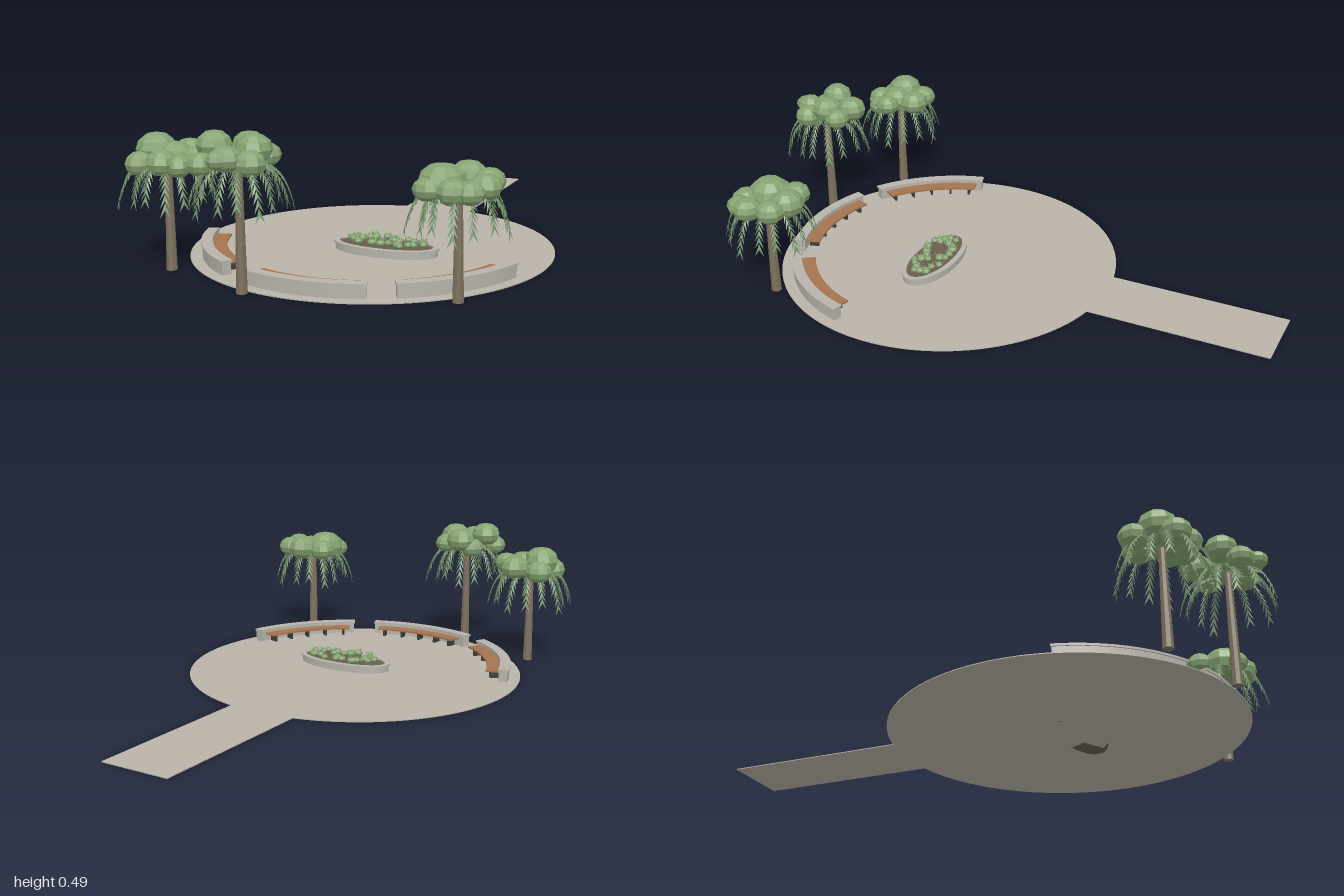
import * as THREE from 'three';
import { mergeGeometries } from 'three/addons/utils/BufferGeometryUtils.js';

const CX = 0.02, CZ = 0.235; // plaza centre
const deg = Math.PI / 180;

function seeded(seed) {
  return () => {
    seed = (seed * 16807) % 2147483647;
    return seed / 2147483647;
  };
}

function material(name, color, options = {}) {
  const m = new THREE.MeshStandardMaterial({ color, ...options });
  m.name = name;
  return m;
}

function part(parent, name, geometry, mat, x = 0, y = 0, z = 0) {
  const mesh = new THREE.Mesh(geometry, mat);
  mesh.name = name;
  mesh.position.set(x, y, z);
  parent.add(mesh);
  return mesh;
}

// Ground-plan shape raised to a slab standing on y = 0
function slab(shape, height, segments = 24) {
  return new THREE.ExtrudeGeometry(shape, { depth: height, bevelEnabled: false, curveSegments: segments })
    .rotateX(-Math.PI / 2);
}

// Curved band centred on the +z direction
function arcBand(inner, outer, halfAngle, height) {
  const a = -Math.PI / 2 - halfAngle, b = -Math.PI / 2 + halfAngle;
  const s = new THREE.Shape();
  s.absarc(0, 0, outer, a, b, false);
  s.absarc(0, 0, inner, b, a, true);
  return slab(s, height, 14);
}

function ellipseRing(rx, rz, inset, height) {
  const s = new THREE.Shape();
  s.absellipse(0, 0, rx, rz, 0, Math.PI * 2);
  const hole = new THREE.Path();
  hole.absellipse(0, 0, rx - inset, rz - inset, 0, Math.PI * 2);
  s.holes.push(hole);
  return slab(s, height, 20);
}

// Drooping feather frond: paired leaflets along an arched spine
function frondGeometry(reach, drop) {
  const spine = new THREE.QuadraticBezierCurve3(
    new THREE.Vector3(0.01, -0.01, 0),
    new THREE.Vector3(reach * 0.8, 0.03, 0),
    new THREE.Vector3(reach, -drop, 0));
  const pos = [];
  const steps = 11;
  for (let i = 1; i < steps; i++) {
    const t = i / steps;
    const p = spine.getPoint(t), q = spine.getPoint(t + 0.85 / steps);
    const dir = spine.getTangent(t);
    for (const side of [-1, 1]) {
      const tip = q.clone().addScaledVector(dir, 0.012);
      tip.y -= 0.012;
      tip.z += side * 0.016;
      pos.push(p.x, p.y, p.z, q.x, q.y, q.z, tip.x, tip.y, tip.z);
      const low = p.clone().lerp(tip, 0.6);
      low.y -= 0.007;
      pos.push(p.x, p.y, p.z, tip.x, tip.y, tip.z, low.x, low.y, low.z);
    }
  }
  const g = new THREE.BufferGeometry();
  g.setAttribute('position', new THREE.Float32BufferAttribute(pos, 3));
  g.computeVertexNormals();
  return g;
}

function makePalm(name, x, z, crownY, puffs, mats) {
  const palm = new THREE.Group();
  palm.name = name;
  palm.position.set(x, 0, z);
  part(palm, 'trunk', new THREE.CylinderGeometry(0.011, 0.018, crownY, 8), mats.bark, 0, crownY / 2, 0);

  const fronds = [];
  const count = 15;
  for (let i = 0; i < count; i++) {
    const g = frondGeometry([0.16, 0.135, 0.15][i % 3], [0.135, 0.125, 0.11][i % 3]);
    fronds.push(g.rotateY((i / count) * Math.PI * 2 + x * 5));
  }
  part(palm, 'fronds', mergeGeometries(fronds), mats.frond, 0, crownY, 0);

  const balls = puffs.map(([dx, dy, dz, r], i) =>
    new THREE.SphereGeometry(r, 9, 6).rotateY(i).scale(1, 0.8, 1).translate(dx, dy, dz));
  part(palm, 'crown', mergeGeometries(balls), mats.foliage, 0, crownY, 0);
  return palm;
}

function makeBench(name, angle, mats) {
  const bench = new THREE.Group();
  bench.name = name;
  bench.position.set(CX, 0, CZ);
  bench.rotation.y = angle;
  part(bench, 'backWall', arcBand(0.539, 0.57, 22 * deg, 0.042), mats.stone);
  part(bench, 'wallCap', arcBand(0.536, 0.574, 22.3 * deg, 0.008), mats.stone, 0, 0.042, 0);
  part(bench, 'seat', arcBand(0.488, 0.537, 19.8 * deg, 0.006), mats.wood, 0, 0.03, 0);
  for (let i = -2; i <= 2; i++) {
    const a = i * 8.5 * deg;
    const leg = part(bench, 'seatLeg', new THREE.BoxGeometry(0.008, 0.028, 0.034), mats.metal,
      Math.sin(a) * 0.516, 0.016, Math.cos(a) * 0.516);
    leg.rotation.y = a;
  }
  return bench;
}

// Small shrub: a faceted core with tilted blades around it
function shrubGeometry(size, rand) {
  const pieces = [new THREE.IcosahedronGeometry(size, 1).scale(1, 0.75, 1)];
  for (let i = 0; i < 6; i++) {
    const blade = new THREE.ConeGeometry(size * 0.28, size * 1.5, 4).toNonIndexed();
    blade.translate(0, size * 0.75, 0).rotateZ(-0.5 - rand() * 0.6).rotateY(i * 1.05 + rand());
    pieces.push(blade);
  }
  return mergeGeometries(pieces);
}

function makePlanter(mats) {
  const planter = new THREE.Group();
  planter.name = 'planter';
  planter.position.set(0.08, 0, 0.265);
  part(planter, 'planterWall', ellipseRing(0.182, 0.085, 0.014, 0.024), mats.stone);
  part(planter, 'planterRim', ellipseRing(0.188, 0.09, 0.02, 0.007), mats.stone, 0, 0.024, 0);
  const bed = new THREE.Shape();
  bed.absellipse(0, 0, 0.17, 0.073, 0, Math.PI * 2);
  part(planter, 'soil', slab(bed, 0.026, 20), mats.soil);

  const rand = seeded(71);
  const shrubs = [];
  for (let i = 0; i < 26; i++) {
    const a = i * 2.4, r = 0.3 + 0.62 * Math.sqrt(rand());
    const g = shrubGeometry(0.011 + rand() * 0.007, rand);
    shrubs.push(g.translate(Math.cos(a) * r * 0.155, 0.036 + rand() * 0.008, Math.sin(a) * r * 0.062));
  }
  part(planter, 'shrubs', mergeGeometries(shrubs), mats.foliage);
  return planter;
}

export function createModel() {
  const model = new THREE.Group();
  model.name = 'palmPlaza';
  const mats = {
    paving: material('paving', 0xb9b3a8),
    stone: material('stone', 0xb8b4ac),
    wood: material('wood', 0xa5734f),
    metal: material('metal', 0x3f3d3a),
    soil: material('soil', 0x6a5d4d),
    bark: material('bark', 0x7d715e, { flatShading: true }),
    foliage: material('foliage', 0x86a372, { flatShading: true }),
    frond: material('frond', 0x75946a, { side: THREE.DoubleSide, flatShading: true }),
  };

  // Round plaza with a straight path leading to the back
  const R = 0.61, half = 0.125, gap = Math.asin(half / R);
  const plan = new THREE.Shape();
  plan.absarc(0, 0, R, Math.PI / 2 + gap, Math.PI * 2.5 - gap, false);
  plan.lineTo(half, 1 + CZ);
  plan.lineTo(-half, 1 + CZ);
  part(model, 'plaza', slab(plan, 0.003, 72), mats.paving, CX, 0, CZ);

  // Three curved benches around the front edge
  model.add(makeBench('rightBench', -53.3 * deg, mats));
  model.add(makeBench('middleBench', 0, mats));
  model.add(makeBench('leftBench', 53.3 * deg, mats));

  model.add(makePlanter(mats));

  // Palms: crown puffs are [x, y, z, radius] about the crown centre
  model.add(makePalm('rightPalm', -0.465, 0.715, 0.36, [
    [-0.04, 0.03, 0, 0.065], [0.025, 0, 0.07, 0.052], [0.1, 0.01, 0, 0.045], [-0.06, 0, -0.07, 0.05],
    [0.03, 0.01, -0.08, 0.055], [-0.06, -0.01, 0.06, 0.05], [0.07, -0.01, 0.05, 0.045], [0.03, 0.01, 0, 0.06],
  ], mats));
  model.add(makePalm('middlePalm', -0.135, 0.845, 0.4, [
    [-0.08, 0.045, 0, 0.055], [0.035, 0.035, -0.03, 0.058], [0, 0.02, 0.07, 0.05], [-0.09, -0.005, 0.06, 0.045],
    [0.06, 0.005, 0.04, 0.05], [-0.02, 0.03, -0.1, 0.055], [-0.06, 0, -0.08, 0.045], [-0.01, 0.02, 0.1, 0.035],
    [0.05, 0.01, -0.08, 0.045],
  ], mats));
  model.add(makePalm('leftPalm', 0.487, 0.675, 0.355, [
    [-0.045, 0, 0.02, 0.075], [0.085, 0, 0.02, 0.05], [0.01, -0.01, 0.08, 0.05], [-0.08, 0, -0.06, 0.05],
    [0, 0.005, -0.08, 0.06], [0.07, 0, -0.06, 0.05], [-0.07, -0.01, 0.07, 0.045], [0.06, -0.01, 0.07, 0.045],
  ], mats));

  return model;
}
